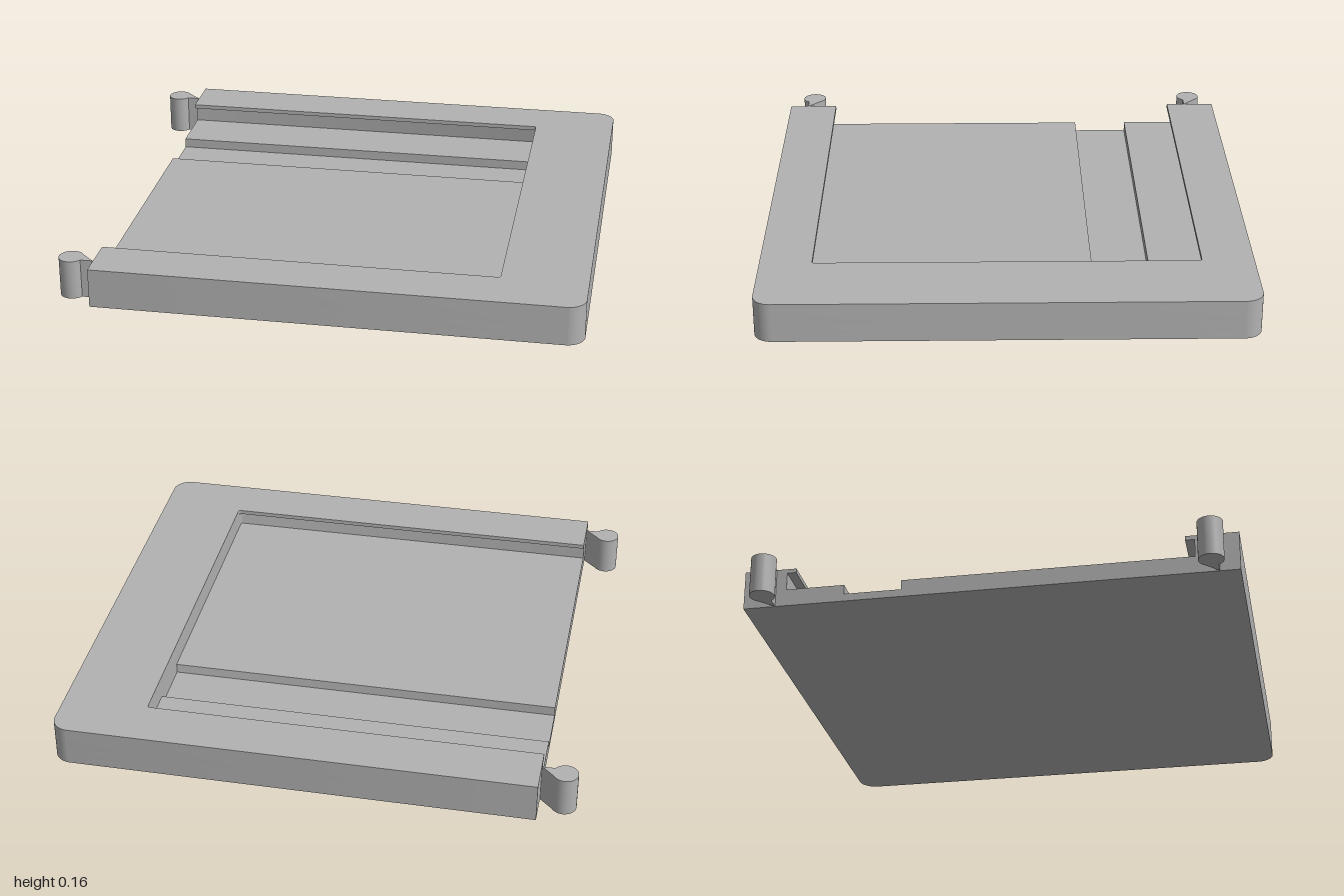
import * as THREE from 'three';
import { toCreasedNormals } from 'three/addons/utils/BufferGeometryUtils.js';

const LEFT = -0.86, RIGHT = 1, HALF = 0.94, CORNER = 0.07;
const POCKET_END = 0.67, HEIGHT = 0.155;

export function createModel() {
  const group = new THREE.Group();
  const grey = new THREE.MeshStandardMaterial({ color: 0xb2b2b2 });
  grey.name = 'plain grey';

  // Extrudes a plan shape (x, -z) upward from y0 to y1
  function addLayer(name, shape, y0, y1) {
    let geo = new THREE.ExtrudeGeometry(shape, { depth: y1 - y0, bevelEnabled: false, curveSegments: 12 });
    geo.rotateX(-Math.PI / 2);
    geo.translate(0, y0, 0);
    geo = toCreasedNormals(geo, 0.6);
    const mesh = new THREE.Mesh(geo, grey);
    mesh.name = name;
    group.add(mesh);
  }

  // Plate outline with two rounded corners and an optional notch open on the left side
  function plate(zBack, zFront, r = 0.01) {
    const s = new THREE.Shape();
    s.moveTo(LEFT, -HALF);
    s.lineTo(RIGHT - CORNER, -HALF);
    s.absarc(RIGHT - CORNER, -HALF + CORNER, CORNER, -Math.PI / 2, 0, false);
    s.lineTo(RIGHT, HALF - CORNER);
    s.absarc(RIGHT - CORNER, HALF - CORNER, CORNER, 0, Math.PI / 2, false);
    s.lineTo(LEFT, HALF);
    if (zBack !== undefined) {
      const top = -zBack, low = -zFront;
      s.lineTo(LEFT, top);
      s.lineTo(POCKET_END - r, top);
      s.quadraticCurveTo(POCKET_END, top, POCKET_END, top - r);
      s.lineTo(POCKET_END, low + r);
      s.quadraticCurveTo(POCKET_END, low, POCKET_END - r, low);
      s.lineTo(LEFT, low);
    }
    s.closePath();
    return s;
  }

  // Base, raised floor with a channel, undercut side slots and the top lip
  addLayer('base', plate(), 0, 0.03);
  addLayer('channelFloor', plate(-0.55, -0.33, 0.001), 0.03, 0.068);
  addLayer('slotWalls', plate(-0.775, 0.775), 0.068, 0.138);
  addLayer('rim', plate(-0.74, 0.74), 0.138, HEIGHT);

  // Round-headed connector tabs on the open side
  const headX = -0.952, radius = 0.048, neck = 0.024;
  const angle = Math.asin(neck / radius);
  [-0.84, 0.84].forEach((z, i) => {
    const s = new THREE.Shape();
    s.moveTo(LEFT, -z + neck);
    s.absarc(headX, -z, radius, angle, Math.PI * 2 - angle, false);
    s.lineTo(LEFT, -z - neck);
    s.closePath();
    addLayer(i ? 'frontConnector' : 'backConnector', s, 0, HEIGHT);
  });

  return group;
}
